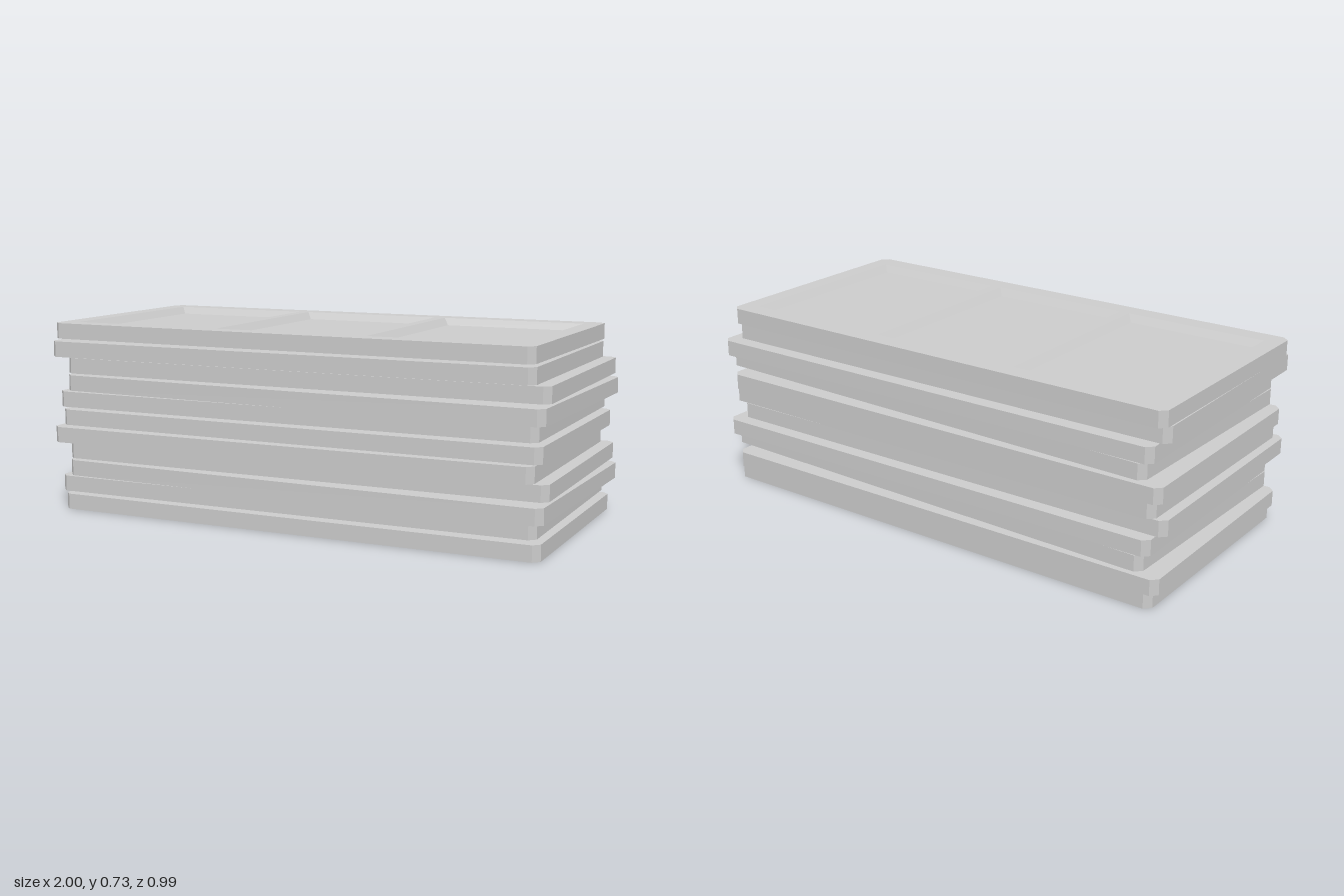
import * as THREE from 'three';
import { mergeGeometries } from 'three/addons/utils/BufferGeometryUtils.js';

const W = 1.932, D = 0.921, T = 0.06, CHAMFER = 0.024, PITCH = 0.0667;
const POCKET = { w: 0.57, d: 0.77, pitch: 0.612, depth: 0.027, inset: 0.022 };

// Counter-clockwise outlines as seen from above, y of the 2D point being -z
const rect = (cx, w, d) => [[-1, -1], [1, -1], [1, 1], [-1, 1]]
  .map(([sx, sy]) => new THREE.Vector2(cx + sx * w / 2, sy * d / 2));

function chamferedOutline() {
  const x = W / 2, y = D / 2, c = CHAMFER;
  return [[-x + c, -y], [x - c, -y], [x, -y + c], [x, y - c],
    [x - c, y], [-x + c, y], [-x, y - c], [-x, -y + c]]
    .map(([px, py]) => new THREE.Vector2(px, py));
}

// Flat horizontal face at a height
function cap(outline, height, holes = []) {
  const shape = new THREE.Shape(outline);
  holes.forEach((h) => shape.holes.push(new THREE.Path(h)));
  const g = new THREE.ShapeGeometry(shape).toNonIndexed();
  g.rotateX(-Math.PI / 2).translate(0, height, 0);
  g.deleteAttribute('uv');
  return g;
}

// Band of quads joining two outlines at different heights
function band(a, ya, b, yb) {
  const pos = [];
  a.forEach((p, i) => {
    const j = (i + 1) % a.length;
    const a0 = [p.x, ya, -p.y], a1 = [a[j].x, ya, -a[j].y];
    const b0 = [b[i].x, yb, -b[i].y], b1 = [b[j].x, yb, -b[j].y];
    pos.push(...a0, ...a1, ...b1, ...a0, ...b1, ...b0);
  });
  const g = new THREE.BufferGeometry();
  g.setAttribute('position', new THREE.Float32BufferAttribute(pos, 3));
  g.computeVertexNormals();
  return g;
}

// Plain shell, open underneath
function plainPanel() {
  const outline = chamferedOutline();
  return mergeGeometries([band(outline, 0, outline, T), cap(outline, T)]);
}

// Shell with three sunken pockets with sloping walls, open underneath
function pocketPanel() {
  const { w, d, pitch, depth, inset } = POCKET;
  const outline = chamferedOutline();
  const centres = [-pitch, 0, pitch];
  const rims = centres.map((x) => rect(x, w, d));
  const parts = [band(outline, 0, outline, T), cap(outline, T, rims)];
  rims.forEach((rim, i) => {
    const floor = rect(centres[i], w - 2 * inset, d - 2 * inset);
    parts.push(band(rim, T, floor, T - depth), cap(floor, T - depth));
  });
  return mergeGeometries(parts);
}

export function createModel() {
  const group = new THREE.Group();
  group.name = 'panelStack';
  const material = new THREE.MeshStandardMaterial({
    color: 0xcccccc, flatShading: true, side: THREE.DoubleSide,
  });
  const plain = plainPanel(), pocketed = pocketPanel();

  // Sideways shift, depth shift and turn in degrees, from the bottom up
  const placements = [
    [0.002, 0.002, 0], [-0.027, -0.0245, 0.45], [0.028, 0.0125, -1.2], [0.013, -0.0235, 0.55],
    [-0.027, 0.0185, 0.5], [0.002, 0.002, 0], [-0.027, -0.0245, 0.45], [0.028, 0.0125, -1.2],
    [0.013, -0.0235, 0.55], [-0.027, 0.0185, 0.5], [-0.033, -0.0105, 0],
  ];
  placements.forEach(([x, z, turn], i) => {
    const top = i === placements.length - 1;
    const panel = new THREE.Mesh(top ? pocketed : plain, material);
    panel.name = top ? 'topPanel' : `panel${i + 1}`;
    panel.position.set(x, i * PITCH, z);
    panel.rotation.y = THREE.MathUtils.degToRad(turn);
    group.add(panel);
  });
  return group;
}
